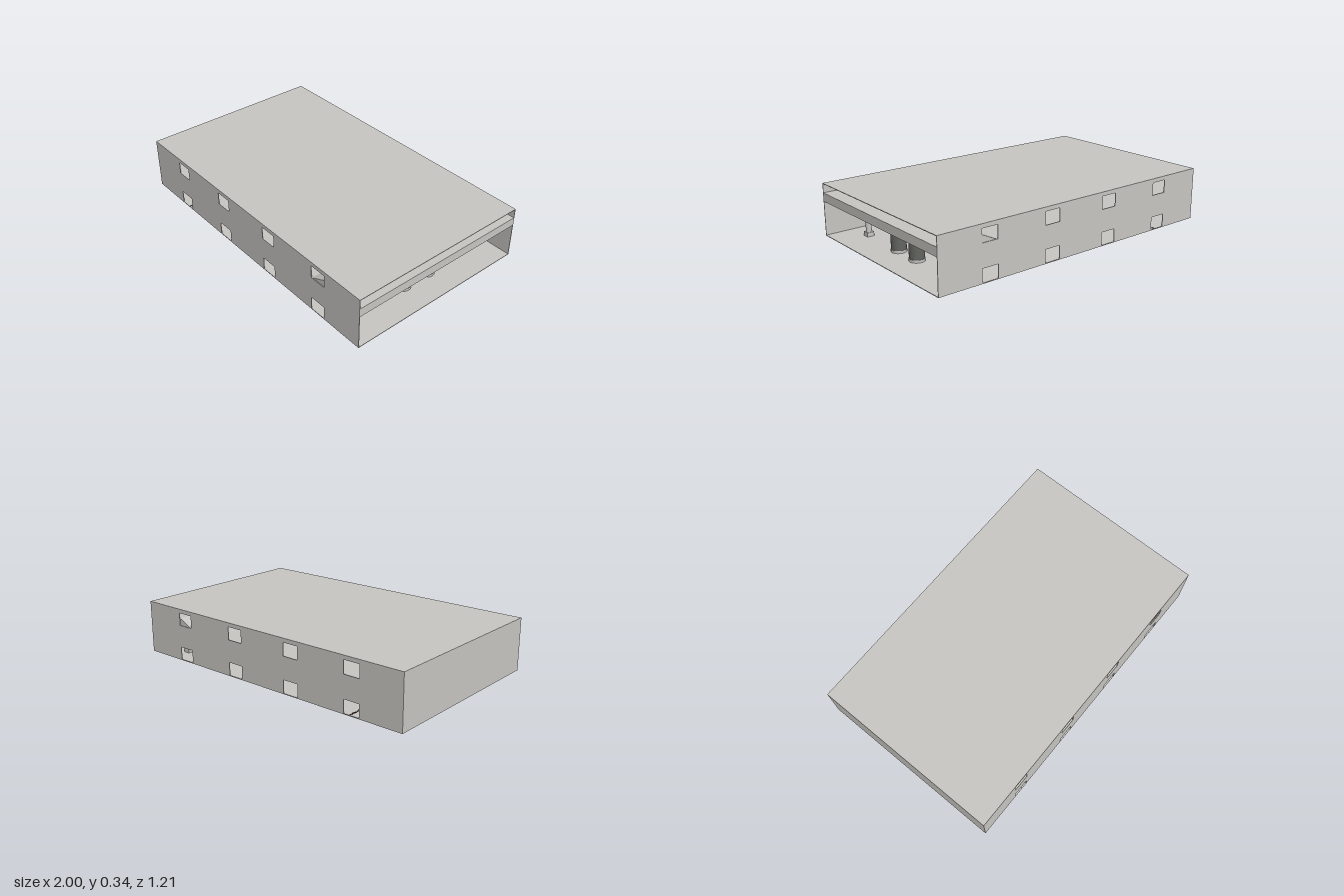
import * as THREE from 'three';
import { mergeGeometries } from 'three/addons/utils/BufferGeometryUtils.js';

const mat = (name, color) => {
  const m = new THREE.MeshStandardMaterial({ color, side: THREE.DoubleSide });
  m.name = name;
  return m;
};

// Small seeded generator for the foliage
function seeded(seed) {
  return () => (seed = (seed * 16807) % 2147483647) / 2147483647;
}

export function createModel() {
  const group = new THREE.Group();
  const concrete = mat('concrete', 0xc6c4c0);
  const doorGrey = mat('door grey', 0x62645f);
  const foliage = mat('dark foliage', 0x1c1515);

  const add = (name, geometry, material, x = 0, y = 0, z = 0, parent = group) => {
    const mesh = new THREE.Mesh(geometry, material);
    mesh.name = name;
    mesh.position.set(x, y, z);
    parent.add(mesh);
    return mesh;
  };
  const box = (name, x0, x1, y0, y1, z0, z1, material = concrete) =>
    add(name, new THREE.BoxGeometry(x1 - x0, y1 - y0, z1 - z0), material,
      (x0 + x1) / 2, (y0 + y1) / 2, (z0 + z1) / 2);

  const H = 0.337, D = 0.607, T = 0.004;

  // Shell, open at the +x end
  box('groundFloor', -1, 1, 0, T, -D, D);
  box('roof', -1, 1, H - T, H, -D, D);
  box('endWall', -1, -1 + T, T, H - T, -D, D);

  // Long walls with two rows of window openings
  const wall = new THREE.Shape([
    [-1, T], [1, T], [1, H - T], [-1, H - T],
  ].map(p => new THREE.Vector2(...p)));
  for (const x of [-0.665, -0.225, 0.22, 0.663]) {
    for (const [y0, y1] of [[0.0055, 0.087], [0.23, 0.311]]) {
      wall.holes.push(new THREE.Path([
        [x - 0.053, y0], [x - 0.053, y1], [x + 0.053, y1], [x + 0.053, y0],
      ].map(p => new THREE.Vector2(...p))));
    }
  }
  const wallGeometry = new THREE.ExtrudeGeometry(wall, { depth: T, bevelEnabled: false });
  add('frontWall', wallGeometry, concrete, 0, 0, D - T);
  add('backWall', wallGeometry, concrete, 0, 0, -D);

  // Upper floor, sloping up to a thick platform at the open end
  const slab = new THREE.Shape([
    [-1 + T, 0.221], [1, 0.221], [1, 0.276], [0.715, 0.276], [0.61, 0.226], [-1 + T, 0.226],
  ].map(p => new THREE.Vector2(...p)));
  add('upperFloor', new THREE.ExtrudeGeometry(slab, { depth: 2 * (D - T), bevelEnabled: false }),
    concrete, 0, 0, -D + T);

  // Entrance columns: square plinth, turned shaft and flared capital
  const shaft = new THREE.LatheGeometry([
    [0.020, 0.03], [0.018, 0.034], [0.0175, 0.198], [0.020, 0.202],
    [0.020, 0.206], [0.025, 0.212], [0.028, 0.216], [0.028, 0.221],
  ].map(p => new THREE.Vector2(...p)), 24);
  for (const z of [0.43, -0.475]) {
    const column = new THREE.Group();
    column.name = 'column';
    column.position.set(0.8, 0, z);
    add('plinth', new THREE.BoxGeometry(0.046, 0.028, 0.046), concrete, 0, 0.017, 0, column);
    add('shaft', shaft, concrete, 0, 0, 0, column);
    group.add(column);
  }

  // Pair of round door drums with pins reaching above the platform
  for (const z of [0.086, -0.106]) {
    const door = new THREE.Group();
    door.name = 'door';
    door.position.set(0.8, 0, z);
    const ring = new THREE.CylinderGeometry(0.048, 0.048, 0.016, 32);
    add('doorBase', ring, concrete, 0, 0.012, 0, door);
    add('doorPanel', new THREE.CylinderGeometry(0.046, 0.046, 0.195, 32, 1, true), doorGrey, 0, 0.1175, 0, door);
    add('doorCap', new THREE.CylinderGeometry(0.048, 0.048, 0.006, 32), concrete, 0, 0.218, 0, door);
    for (const s of [-1, 1]) {
      add('doorPin', new THREE.CylinderGeometry(0.003, 0.003, 0.06, 8), foliage, 0, 0.25, s * 0.038, door);
    }
    group.add(door);
  }

  // Low desk with a rounded end, on short legs
  const desk = new THREE.Shape();
  desk.moveTo(0.35, 0.016);
  desk.lineTo(0.225, 0.016);
  desk.quadraticCurveTo(0.205, 0.016, 0.205, 0.038);
  desk.quadraticCurveTo(0.205, 0.06, 0.225, 0.06);
  desk.lineTo(0.35, 0.06);
  add('desk', new THREE.ExtrudeGeometry(desk, { depth: 0.08, bevelEnabled: false }), concrete, 0, 0, -0.05);
  for (const x of [0.235, 0.335]) box('deskLeg', x - 0.008, x + 0.008, T, 0.016, -0.04, 0.02);

  // Indoor tree in a low planter
  box('planter', 0.42, 0.5, T, 0.03, -0.048, 0.036);
  add('trunk', new THREE.CylinderGeometry(0.003, 0.006, 0.09, 8), concrete, 0.46, 0.072, -0.008);
  const random = seeded(11);
  const leaves = [];
  for (let i = 0; i < 420; i++) {
    const a = random() * Math.PI * 2, v = random() * 2 - 1;
    const r = Math.cbrt(random()), w = Math.sqrt(1 - v * v) * r * 0.046;
    const leaf = new THREE.TetrahedronGeometry(0.004 + random() * 0.003);
    leaf.rotateX(random() * 6).rotateY(random() * 6);
    leaf.translate(0.46 + w * Math.cos(a), 0.148 + v * r * 0.066, -0.008 + w * Math.sin(a));
    leaves.push(leaf);
  }
  add('treeFoliage', mergeGeometries(leaves), foliage);

  // Ragged dark seam across the floor
  const seam = [];
  for (let i = 0; i < 80; i++) {
    const piece = new THREE.BoxGeometry(0.005 + random() * 0.008, 0.0055, 0.016);
    piece.translate(-0.65 + (random() - 0.5) * 0.006, 0.0024, -0.597 + i * 0.0151);
    seam.push(piece);
  }
  add('floorSeam', mergeGeometries(seam), foliage);

  return group;
}
